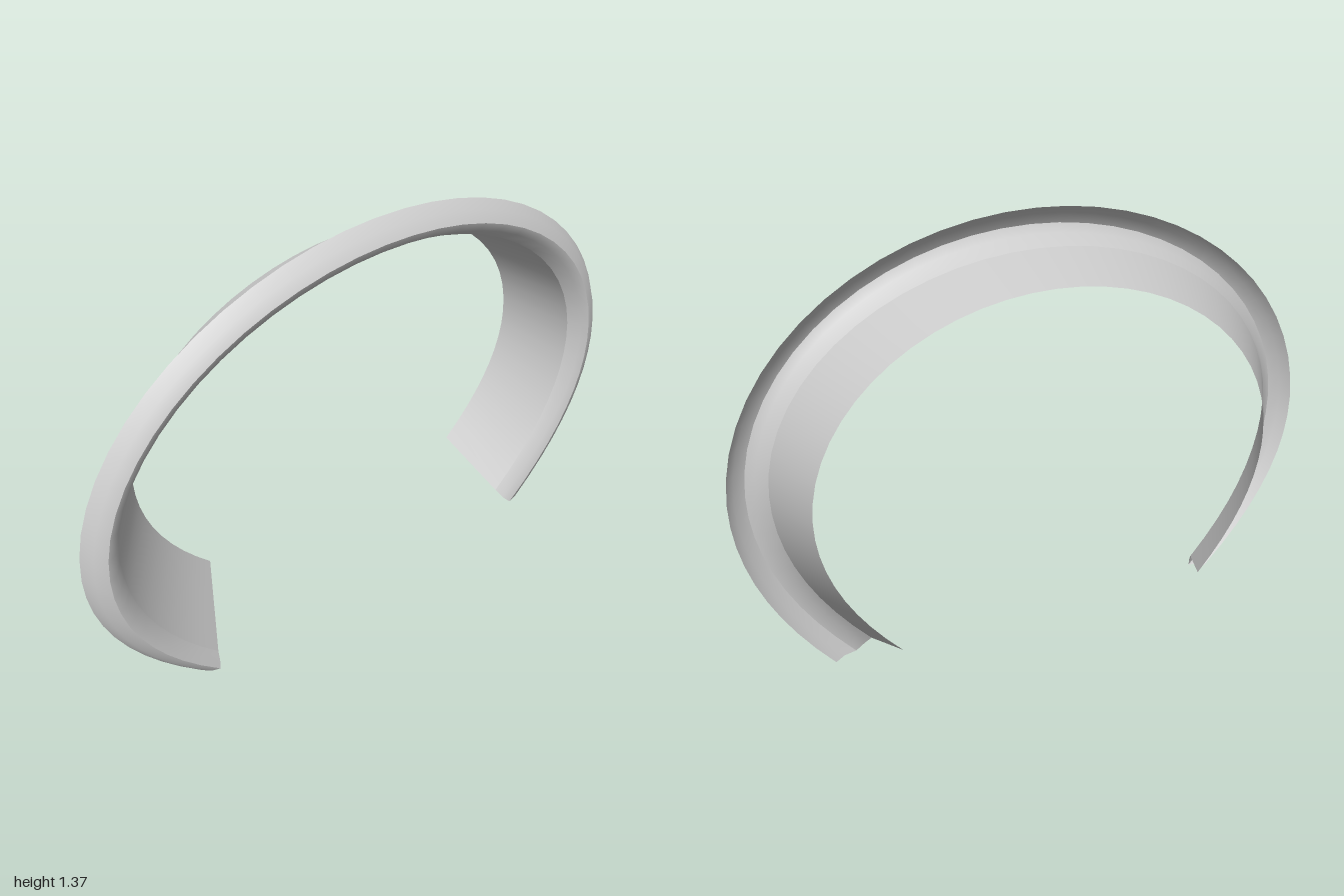
import * as THREE from 'three';

const LOWER = 9, UPPER = 30;

// One lengthwise line of the arch: a half ellipse on top, curving in to two feet.
// right / left: [x, z] at the widest height; top: [y, z]; feet: [x, y, z]
function archLine({ right, left, widest, top, rightFoot, leftFoot }) {
  const pts = [];
  const leg = (foot, side) => {
    const a = new THREE.Vector3(...foot);
    const b = new THREE.Vector3(side[0], (widest + foot[1]) / 2, side[1]);
    const c = new THREE.Vector3(side[0], widest, side[1]);
    return new THREE.QuadraticBezierCurve3(a, b, c).getPoints(LOWER);
  };
  pts.push(...leg(rightFoot, right));
  const cx = (left[0] + right[0]) / 2, rx = (left[0] - right[0]) / 2;
  for (let i = 1; i < UPPER; i++) {
    const a = Math.PI * i / UPPER, u = -Math.cos(a);
    const z = top[1] + u * (left[1] - right[1]) / 2 + u * u * ((left[1] + right[1]) / 2 - top[1]);
    pts.push(new THREE.Vector3(cx + rx * u, widest + (top[0] - widest) * Math.sin(a), z));
  }
  pts.push(...leg(leftFoot, left).reverse());
  return pts;
}

// Smooth sheet through neighbouring lines, listed from outside to inside
function sheet(name, lines, material) {
  const n = lines[0].length, pos = [], index = [];
  lines.forEach(line => line.forEach(p => pos.push(p.x, p.y, p.z)));
  for (let j = 0; j < lines.length - 1; j++) {
    for (let i = 0; i < n - 1; i++) {
      const a = j * n + i, b = a + n;
      index.push(a, b, a + 1, a + 1, b, b + 1);
    }
  }
  const g = new THREE.BufferGeometry();
  g.setAttribute('position', new THREE.Float32BufferAttribute(pos, 3));
  g.setIndex(index);
  g.computeVertexNormals();
  const mesh = new THREE.Mesh(g, material);
  mesh.name = name;
  return mesh;
}

export function createModel() {
  const group = new THREE.Group();
  group.name = 'wheelArchFlare';
  const material = new THREE.MeshStandardMaterial({ color: 0xcccccc, side: THREE.DoubleSide });

  // Outer edge of the rim
  const outer = archLine({
    right: [-1, 0.16], left: [1, 0.03], widest: 0.6, top: [1.372, 0.105],
    rightFoot: [-0.67, 0, 0.14], leftFoot: [0.72, 0, 0.04],
  });
  // Rounded shoulder of the rim
  const shoulder = archLine({
    right: [-0.975, 0.193], left: [0.975, 0.063], widest: 0.6, top: [1.346, 0.138],
    rightFoot: [-0.648, 0, 0.158], leftFoot: [0.687, 0, 0.068],
  });
  // Front crease
  const crease = archLine({
    right: [-0.938, 0.207], left: [0.94, 0.08], widest: 0.6, top: [1.312, 0.157],
    rightFoot: [-0.62, 0, 0.166], leftFoot: [0.645, 0, 0.082],
  });
  // Rounded inner lip
  const lip = archLine({
    right: [-0.91, 0.195], left: [0.91, 0.072], widest: 0.605, top: [1.283, 0.143],
    rightFoot: [-0.615, 0.025, 0.157], leftFoot: [0.618, 0.027, 0.073],
  });
  // Where the lip meets the wall
  const root = archLine({
    right: [-0.885, 0.16], left: [0.877, 0.04], widest: 0.61, top: [1.252, 0.09],
    rightFoot: [-0.61, 0.05, 0.14], leftFoot: [0.6, 0.055, 0.05],
  });
  // Back edge of the wall
  const back = archLine({
    right: [-0.713, -0.112], left: [0.803, -0.212], widest: 0.62, top: [1.19, -0.148],
    rightFoot: [-0.48, 0.15, -0.132], leftFoot: [0.565, 0.15, -0.203],
  });

  group.add(
    sheet('outerRim', [outer, shoulder, crease], material),
    sheet('innerLip', [crease, lip, root], material),
    sheet('innerWall', [root, back], material),
  );
  return group;
}
